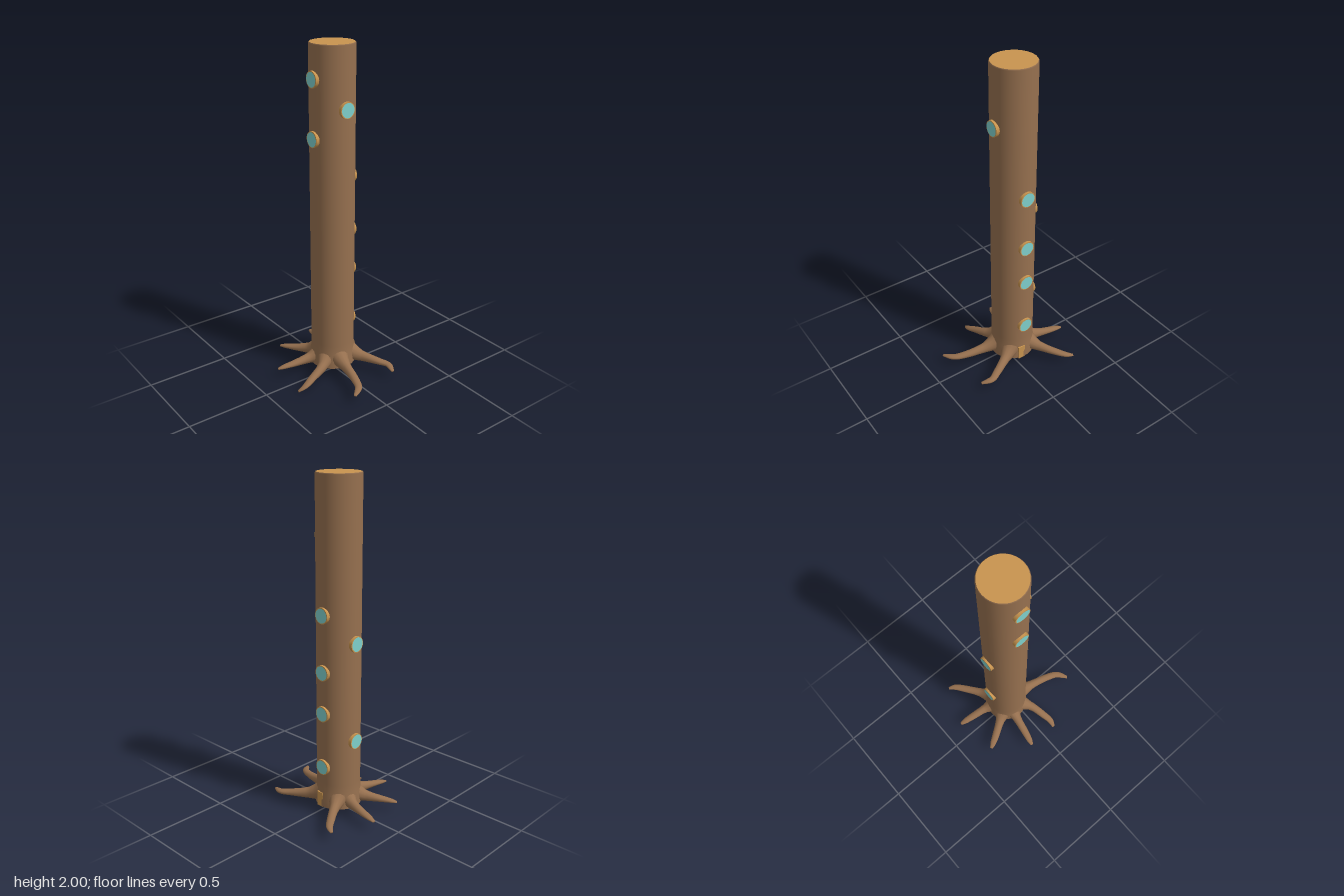
import * as THREE from 'three';

const CX = 0.015, CZ = -0.04, R = 0.13, BASE = 0.05;
const bark = new THREE.MeshStandardMaterial({ color: 0x96704f });
const wood = new THREE.MeshStandardMaterial({ color: 0xc8944f });
const glass = new THREE.MeshStandardMaterial({ color: 0x7fd0cc });

function add(parent, name, geometry, material) {
  const mesh = new THREE.Mesh(geometry, material);
  mesh.name = name;
  parent.add(mesh);
  return mesh;
}

// Interpolates a short list of evenly spaced values
function sample(list, t) {
  const f = t * (list.length - 1), i = Math.min(Math.floor(f), list.length - 2);
  return THREE.MathUtils.lerp(list[i], list[i + 1], f - i);
}

// Tapering root: rounded cross-sections swept along a ground path of [x, z] points
function rootGeometry(path, drop) {
  const curve = new THREE.CatmullRomCurve3(path.map(([x, z]) => new THREE.Vector3(x, 0, z)));
  const steps = 20, sides = 12, up = new THREE.Vector3(0, 1, 0);
  const tops = [0.19, 0.145, 0.119, 0.107, 0.098, 0.09, 0.083, 0.076, 0.064];
  const widths = [0.06, 0.042, 0.03, 0.026, 0.025, 0.024, 0.022, 0.019, 0.009];
  const positions = [], index = [];
  for (let i = 0; i <= steps; i++) {
    const t = i / steps;
    const p = curve.getPointAt(t);
    const side = curve.getTangentAt(t).cross(up).normalize();
    const sink = drop * t * t;
    const low = BASE + 0.004 * t - sink, high = sample(tops, t) - sink, w = sample(widths, t);
    for (let j = 0; j < sides; j++) {
      const a = (j / sides) * Math.PI * 2, c = Math.cos(a) * w;
      const y = (low + high) / 2 + Math.sin(a) * (high - low) / 2;
      positions.push(p.x + side.x * c, y, p.z + side.z * c);
      if (i < steps) {
        const k = (j + 1) % sides, q = i * sides, n = q + sides;
        index.push(q + j, n + j, q + k, q + k, n + j, n + k);
      }
    }
  }
  // Closed tip
  const last = steps * sides, end = curve.getPointAt(1);
  positions.push(end.x, 0.058 - drop, end.z);
  for (let j = 0; j < sides; j++) index.push(last + j, last + sides, last + (j + 1) % sides);
  const g = new THREE.BufferGeometry();
  g.setAttribute('position', new THREE.Float32BufferAttribute(positions, 3));
  g.setIndex(index);
  g.computeVertexNormals();
  return g;
}

// Round window, facing outwards at an angle around the trunk
function addWindow(parent, angle, y) {
  const group = new THREE.Group();
  group.name = 'roundWindow';
  group.position.set(CX, y, CZ);
  group.rotation.y = angle;
  const frame = add(group, 'windowFrame', new THREE.CylinderGeometry(0.047, 0.047, 0.036, 28), wood);
  frame.rotation.x = Math.PI / 2;
  frame.position.z = 0.124;
  const pane = add(group, 'windowPane', new THREE.CircleGeometry(0.042, 28), glass);
  pane.position.z = 0.1432;
  parent.add(group);
}

export function createModel() {
  const model = new THREE.Group();
  model.name = 'treeTower';

  // Trunk with a slight flare at the foot
  const profile = [[0.138, BASE], [0.138, 0.09], [0.133, 0.14], [R, 0.2], [R, 1.994], [0.125, 2]]
    .map(([r, y]) => new THREE.Vector2(r, y));
  add(model, 'trunk', new THREE.LatheGeometry(profile, 32), bark).position.set(CX, 0, CZ);

  // Cut top and underside
  const top = add(model, 'cutTop', new THREE.CircleGeometry(0.1255, 32), wood);
  top.rotation.x = -Math.PI / 2;
  top.position.set(CX, 2, CZ);
  const bottom = add(model, 'underside', new THREE.CircleGeometry(0.138, 32), bark);
  bottom.rotation.x = Math.PI / 2;
  bottom.position.set(CX, BASE, CZ);

  // Roots
  const roots = [
    [[0.09, -0.105], [0.17, -0.15], [0.25, -0.203], [0.31, -0.25], [0.334, -0.288]],
    [[0.035, -0.13], [0.055, -0.2], [0.07, -0.29], [0.084, -0.385]],
    [[-0.045, -0.12], [-0.095, -0.2], [-0.14, -0.27], [-0.18, -0.338]],
    [[-0.07, -0.06], [-0.15, -0.077], [-0.25, -0.095], [-0.34, -0.115]],
    [[-0.07, 0.01], [-0.14, 0.055], [-0.23, 0.083], [-0.29, 0.097], [-0.333, 0.09]],
    [[-0.01, 0.06], [-0.025, 0.16], [-0.05, 0.27], [-0.08, 0.34], [-0.14, 0.385]],
    [[0.09, 0.03], [0.145, 0.12], [0.19, 0.2], [0.217, 0.255], [0.2, 0.32]],
  ];
  roots.forEach((path, i) => add(model, 'root', rootGeometry(path, i === 4 ? 0.052 : 0), bark));

  // Windows: front, left side, right side and back
  const windows = [
    [0, [1.65]],
    [Math.PI / 2, [1.23, 0.895, 0.645, 0.31]],
    [-Math.PI / 2, [1.81, 1.48]],
    [Math.PI, [1.065, 0.475]],
  ];
  for (const [angle, heights] of windows) for (const y of heights) addWindow(model, angle, y);

  // Small door between the roots
  const door = add(model, 'door', new THREE.BoxGeometry(0.1, 0.09, 0.045), wood);
  door.position.set(0.102, 0.092, -0.018);

  return model;
}
